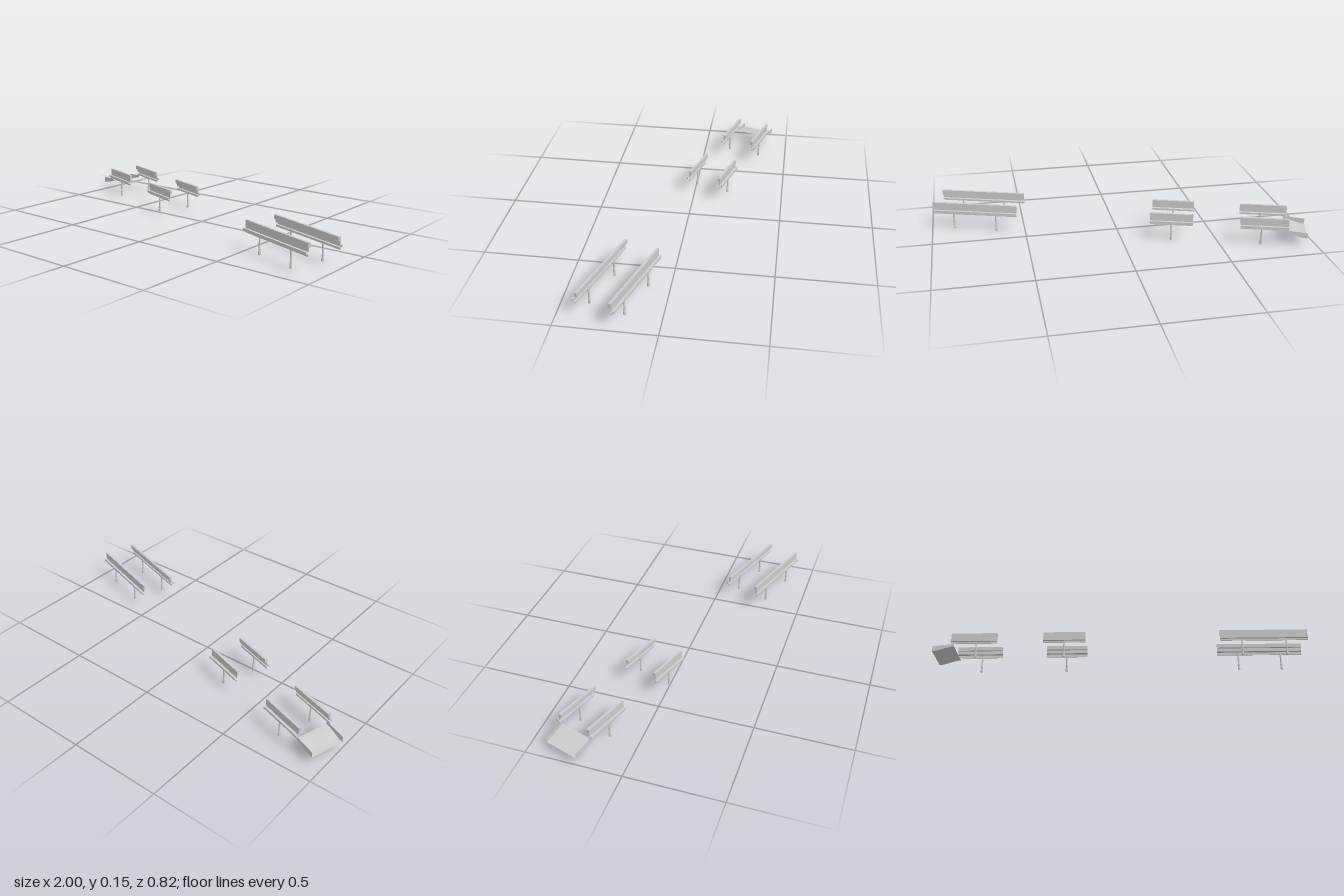
import * as THREE from 'three';

const material = new THREE.MeshStandardMaterial({ color: 0xcccccc, side: THREE.DoubleSide, flatShading: true });
const smooth = new THREE.MeshStandardMaterial({ color: 0xcccccc, side: THREE.DoubleSide });
const HALF_GAP = 0.0955;

function part(name, geometry, mat = material) {
  const mesh = new THREE.Mesh(geometry, mat);
  mesh.name = name;
  return mesh;
}

// Section of the side rail: [inward offset, height]
const RAIL_SECTION = [
  [0, 0.149], [0.014, 0.149], [0.014, 0.127], [0.0045, 0.127], [0.0045, 0.108],
  [-0.008, 0.106], [-0.008, 0.098], [0.0025, 0.096], [0.0025, 0.086],
  [-0.002, 0.086], [-0.002, 0.096], [-0.0135, 0.096], [-0.0135, 0.108], [0, 0.108],
];

function makeRail(length) {
  const shape = new THREE.Shape(RAIL_SECTION.map(([u, y]) => new THREE.Vector2(u, y)));
  const geometry = new THREE.ExtrudeGeometry(shape, { depth: length, bevelEnabled: false });
  geometry.translate(0, 0, -length / 2).rotateY(Math.PI / 2).translate(0, 0, HALF_GAP);
  return part('sideRail', geometry);
}

// Round leg with a wider sleeve and collar at the foot
function makePost() {
  const profile = [
    [0, 0], [0.0068, 0], [0.0068, 0.004], [0.006, 0.02], [0.0045, 0.022],
    [0.0045, 0.025], [0.006, 0.025], [0.006, 0.031], [0.0045, 0.033], [0.0045, 0.1], [0, 0.1],
  ].map(([r, y]) => new THREE.Vector2(r, y));
  return part('post', new THREE.LatheGeometry(profile, 12));
}

// Two mirrored rails on posts
function makeSection(name, x, z, length, postPositions) {
  const section = new THREE.Group();
  section.name = name;
  for (const side of [1, -1]) {
    const rail = makeRail(length);
    if (side < 0) rail.rotation.y = Math.PI;
    section.add(rail);
    for (const along of postPositions) {
      const post = makePost();
      post.position.set(along, 0, side * HALF_GAP);
      section.add(post);
    }
  }
  section.position.set(x, 0, z);
  section.rotation.y = -0.309;
  return section;
}

// Curved outlet sheet with a low wall along each side
function makeChute() {
  const chute = new THREE.Group();
  chute.name = 'chute';
  const start = -0.227, end = -0.109, half = 0.093, steps = 10;
  const floorY = (t) => 0.045 + 0.027 * t * t * (3 - 2 * t);
  const floor = new THREE.PlaneGeometry(1, 1, steps, 1).rotateX(-Math.PI / 2);
  const p = floor.attributes.position;
  for (let i = 0; i < p.count; i++) {
    const t = p.getX(i) + 0.5;
    p.setXYZ(i, start + (end - start) * t, floorY(t), p.getZ(i) * 2 * half);
  }
  floor.computeVertexNormals();
  chute.add(part('chuteFloor', floor, smooth));

  const outline = [];
  for (let i = 0; i <= steps; i++) {
    outline.push(new THREE.Vector2(start + (end - start) * i / steps, floorY(i / steps)));
  }
  outline.push(new THREE.Vector2(end, 0.087), new THREE.Vector2(start, 0.075));
  for (const side of [1, -1]) {
    const wall = part('chuteWall', new THREE.ShapeGeometry(new THREE.Shape(outline)));
    wall.position.z = side * half;
    chute.add(wall);
  }
  return chute;
}

export function createModel() {
  const model = new THREE.Group();
  model.name = 'railSections';
  model.add(makeSection('longSection', 0.737, 0.236, 0.47, [-0.118, 0.118]));
  model.add(makeSection('middleSection', -0.29, -0.0965, 0.23, [0]));
  const outlet = makeSection('outletSection', -0.757, -0.249, 0.253, [0.0135]);
  outlet.add(makeChute());
  model.add(outlet);
  return model;
}
